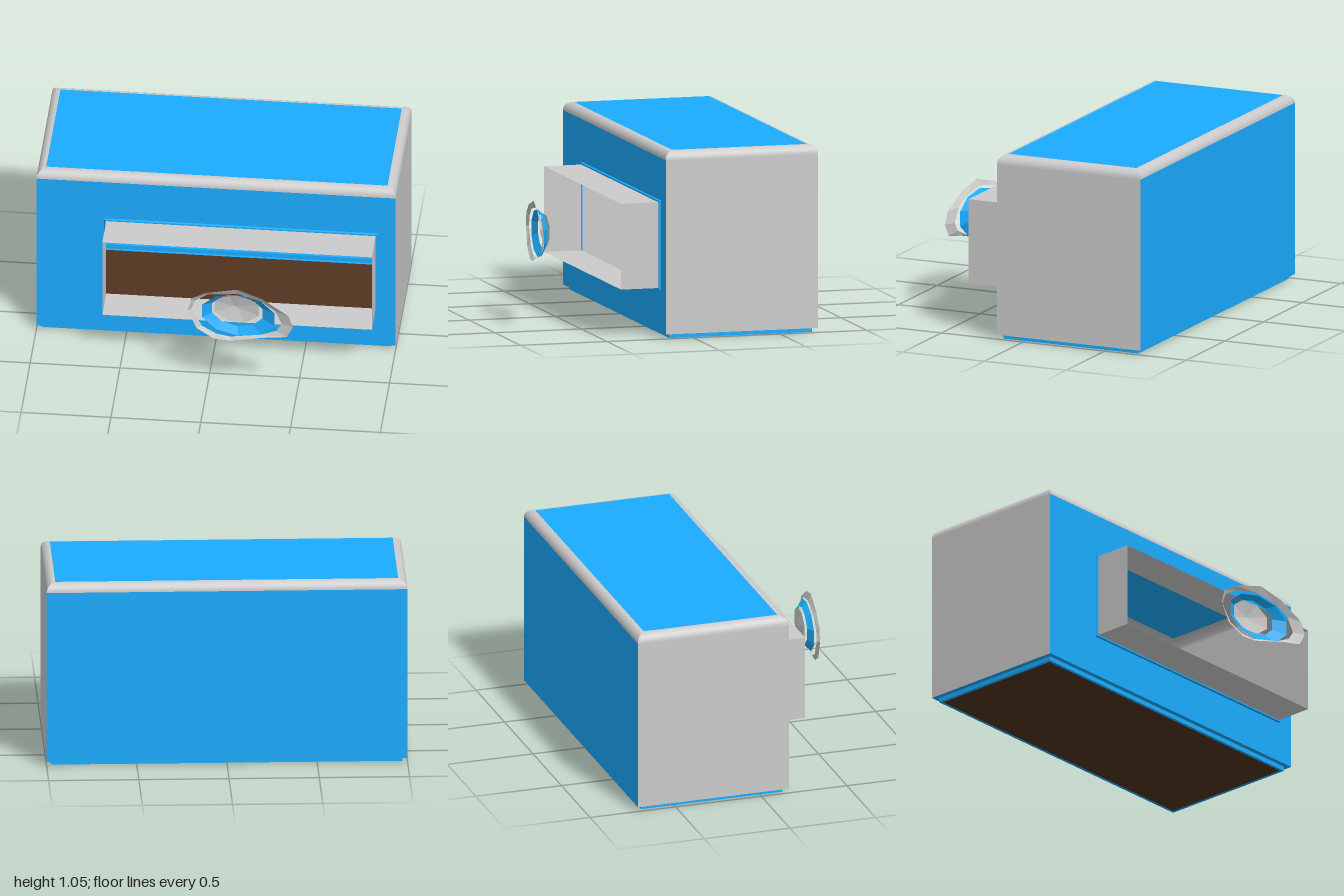
import * as THREE from 'three';
import { toCreasedNormals } from 'three/addons/utils/BufferGeometryUtils.js';

const material = (color, flatShading = false) =>
  new THREE.MeshStandardMaterial({ color, flatShading, side: THREE.DoubleSide });
const grey = material(0xcccccc), blue = material(0x1bacff), brown = material(0x50331f);
const greyFacet = material(0xcccccc, true), blueFacet = material(0x1bacff, true);

// Skin of quads between successive closed loops of [x, y, z] points
function loft(loops) {
  const pos = [];
  for (let i = 0; i < loops.length - 1; i++) {
    const a = loops[i], b = loops[i + 1], n = a.length;
    for (let j = 0; j < n; j++) {
      const k = (j + 1) % n;
      pos.push(...a[j], ...a[k], ...b[k], ...a[j], ...b[k], ...b[j]);
    }
  }
  const g = new THREE.BufferGeometry();
  g.setAttribute('position', new THREE.Float32BufferAttribute(pos, 3));
  g.computeVertexNormals();
  return g;
}

// Body footprint, and a horizontal rectangle inset from it at height y
const X = 1, BACK = -0.72, FRONT = 0.16, MID = (BACK + FRONT) / 2, DEPTH = FRONT - BACK;
const flatRect = (inset, y) => {
  const x = X - inset, b = BACK + inset, f = FRONT - inset;
  return [[-x, y, f], [x, y, f], [x, y, b], [-x, y, b]];
};
// Upright rectangle around the window, grown by g, at depth z
const windowRect = (g, z) => [[-0.61 - g, 0.27 - g, z], [0.89 + g, 0.27 - g, z],
  [0.89 + g, 0.75 + g, z], [-0.61 - g, 0.75 + g, z]];
const loopPath = (pts, P) => new P(pts.map(([x, y]) => new THREE.Vector2(x, y)));

export function createModel() {
  const model = new THREE.Group();
  const add = (name, geometry, mat, parent = model) => {
    const m = new THREE.Mesh(geometry, mat);
    m.name = name;
    parent.add(m);
    return m;
  };
  const LOW = 0.025, HIGH = 1, H = HIGH - LOW;

  // Front wall with window opening
  const front = loopPath([[-X, LOW], [X, LOW], [X, HIGH], [-X, HIGH]], THREE.Shape);
  front.holes.push(loopPath(windowRect(0.012, 0), THREE.Path));
  add('frontWall', new THREE.ShapeGeometry(front), blue).position.z = FRONT;

  // Back and side walls
  const back = add('backWall', new THREE.PlaneGeometry(2 * X, H), blue);
  back.position.set(0, LOW + H / 2, BACK);
  back.rotation.y = Math.PI;
  for (const s of [-1, 1]) {
    const side = add(s > 0 ? 'leftWall' : 'rightWall', new THREE.PlaneGeometry(DEPTH, H), grey);
    side.position.set(s * X, LOW + H / 2, MID);
    side.rotation.y = s * Math.PI / 2;
  }

  // Rounded roof edge and roof panel
  const R = 0.05, steps = 8, edge = [];
  for (let i = 0; i <= steps; i++) {
    const a = (i / steps) * Math.PI / 2;
    edge.push(flatRect(R * (1 - Math.cos(a)), HIGH + R * Math.sin(a)));
  }
  add('roofEdge', toCreasedNormals(loft(edge), 0.5), grey);
  const roof = add('roofPanel', new THREE.PlaneGeometry(2 * (X - R), DEPTH - 2 * R), blue);
  roof.position.set(0, HIGH + R, MID);
  roof.rotation.x = -Math.PI / 2;

  // Recessed plinth with a narrow lip, and floor
  const plinth = loft([flatRect(0.045, 0), flatRect(0.028, 0), flatRect(0.028, LOW), flatRect(0, LOW)]);
  add('plinth', plinth, blue);
  const floor = add('floor', new THREE.PlaneGeometry(2 * X - 0.09, DEPTH - 0.09), brown);
  floor.position.set(0, 0, MID);
  floor.rotation.x = Math.PI / 2;

  // Thin window sleeve and its raised seat
  add('windowSeat', loft([windowRect(0.012, FRONT), windowRect(0.008, 0.17), windowRect(0, 0.17)]), blue);
  add('windowSleeve', loft([windowRect(0, 0.17), windowRect(0, 0.385)]), grey);

  // Faceted, tilted ornament in front of the window
  const ornament = new THREE.Group();
  ornament.name = 'ornament';
  model.add(ornament);
  const tilt = (pts, z, slope) => pts.map(([x, y]) => [x, y, z + slope * x]);
  const rim = [[-0.11, 0.5], [-0.09, 0.58], [-0.01, 0.63], [0.17, 0.68], [0.31, 0.64], [0.46, 0.55],
    [0.485, 0.48], [0.45, 0.41], [0.32, 0.385], [0.13, 0.335], [0.04, 0.335], [-0.06, 0.39]];
  const lip = [[-0.09, 0.5], [-0.07, 0.56], [0, 0.61], [0.17, 0.64], [0.3, 0.61], [0.38, 0.56],
    [0.42, 0.48], [0.39, 0.43], [0.3, 0.39], [0.13, 0.352], [0.05, 0.36], [-0.03, 0.4]];
  add('outerRing', loft([tilt(rim, 0.654, 0.14), tilt(lip, 0.638, 0.13)]), greyFacet, ornament);

  const oval = (cx, cy, rx, ry, n) => Array.from({ length: n }, (_, i) => {
    const a = (i + 0.5) / n * Math.PI * 2;
    return [cx + rx * Math.cos(a), cy + ry * Math.sin(a)];
  });
  add('middleRing', loft([tilt(oval(0.175, 0.495, 0.215, 0.135, 10), 0.634, 0.12),
    tilt(oval(0.165, 0.505, 0.15, 0.1, 10), 0.605, 0.11)]), blueFacet, ornament);
  add('centreDish', loft([tilt(oval(0.16, 0.51, 0.135, 0.093, 8), 0.594, 0.09),
    Array(8).fill([0.15, 0.51, 0.586])]), greyFacet, ornament);

  return model;
}
